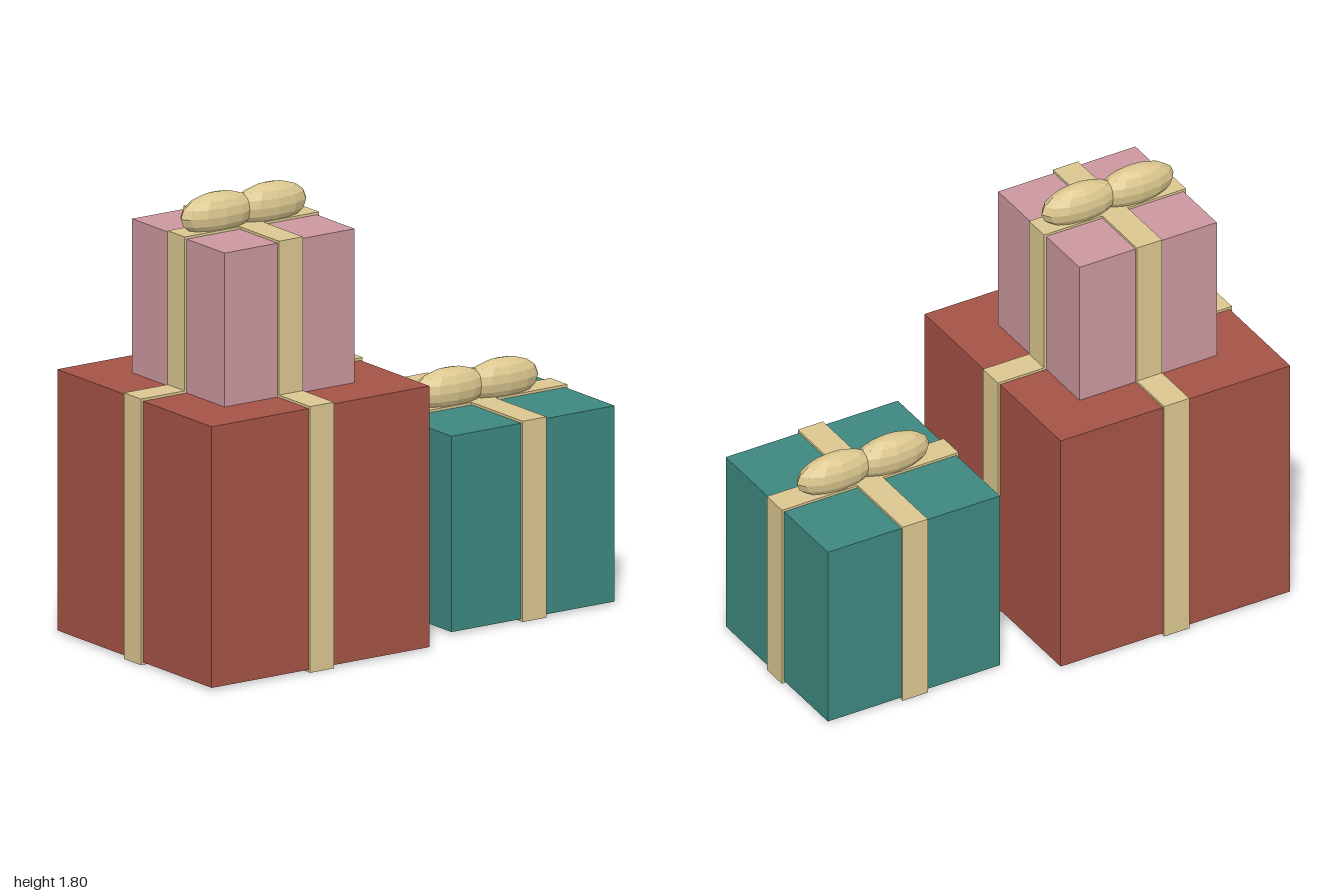
import * as THREE from 'three';

const RIBBON_WIDTH = 0.112; // width of every ribbon band
const RIBBON_LIFT = 0.01; // how far ribbons stand off the box

const material = (color) => new THREE.MeshStandardMaterial({ color, flatShading: true });

function addMesh(parent, name, geometry, mat, x, y, z) {
  const mesh = new THREE.Mesh(geometry, mat);
  mesh.name = name;
  mesh.position.set(x, y, z);
  parent.add(mesh);
  return mesh;
}

// A wrapped box whose underside is at y = 0
function createGift(name, width, height, boxMat, ribbonMat, hasBow) {
  const gift = new THREE.Group();
  gift.name = name;
  const mid = height / 2;
  addMesh(gift, 'box', new THREE.BoxGeometry(width, height, width), boxMat, 0, mid, 0);

  // Two crossing ribbon bands wrapped right round the box
  const outerW = width + RIBBON_LIFT * 2;
  const outerH = height + RIBBON_LIFT * 2;
  addMesh(gift, 'ribbonFrontToBack', new THREE.BoxGeometry(RIBBON_WIDTH, outerH, outerW), ribbonMat, 0, mid, 0);
  addMesh(gift, 'ribbonSideToSide', new THREE.BoxGeometry(outerW, outerH, RIBBON_WIDTH), ribbonMat, 0, mid, 0);

  // Bow of two faceted lobes, partly sunk into the lid
  if (hasBow) {
    const lobe = new THREE.SphereGeometry(1, 12, 8).scale(0.17, 0.085, 0.067);
    for (const side of [-1, 1]) {
      addMesh(gift, side > 0 ? 'leftBowLobe' : 'rightBowLobe', lobe, ribbonMat,
        side * 0.123, height + 0.063, 0);
    }
  }
  return gift;
}

export function createModel() {
  const model = new THREE.Group();
  model.name = 'giftStack';
  const ribbon = material(0xdbc78f);

  const large = createGift('largeGift', 1.02, 1.035, material(0xa55346), ribbon, false);
  large.position.set(-0.482, 0.01, 0);

  const top = createGift('topGift', 0.61, 0.61, material(0xcb979f), ribbon, true);
  top.position.set(-0.482, 1.045, 0);

  const side = createGift('sideGift', 0.765, 0.776, material(0x3e8880), ribbon, true);
  side.position.set(0.605, 0.01, 0);

  model.add(large, top, side);
  return model;
}
